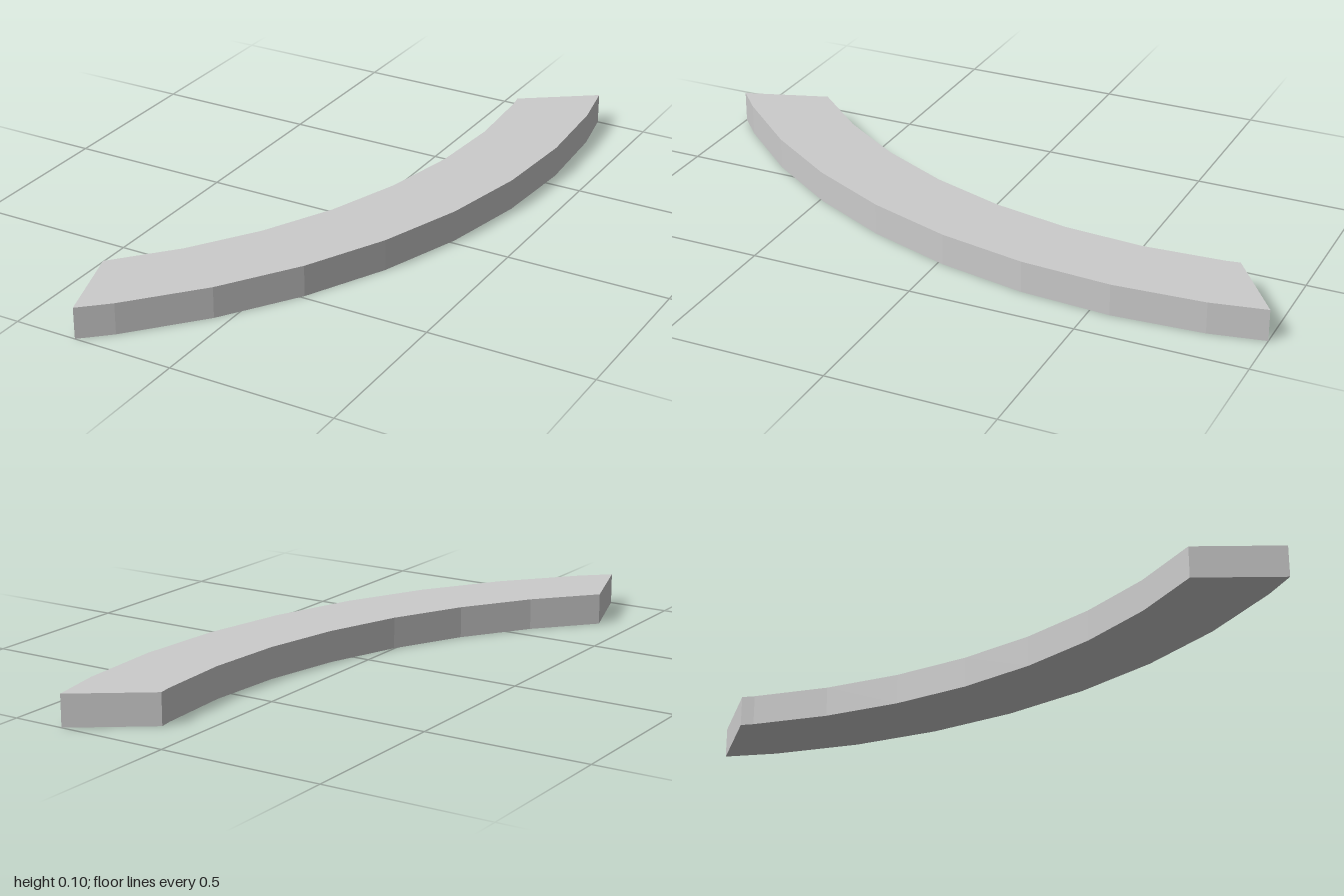
import * as THREE from 'three';

const STEP = THREE.MathUtils.degToRad(7.5);
const CENTRE = { x: -1.71, z: -0.56 };
const HEIGHT = 0.096;

// Points on a faceted arc, as (x, -z) so the plan can be laid flat after extruding.
function arcPoints(radius, from, to) {
  const points = [];
  const dir = Math.sign(to - from);
  for (let i = from; i !== to + dir; i += dir) {
    points.push(new THREE.Vector2(
      CENTRE.x + radius * Math.cos(i * STEP),
      -(CENTRE.z + radius * Math.sin(i * STEP))
    ));
  }
  return points;
}

export function createModel() {
  const group = new THREE.Group();
  group.name = 'curvedSlab';

  // Plan outline: outer arc, angled front end, inner arc, angled back end
  const outline = new THREE.Shape([
    new THREE.Vector2(0.34, 1),
    ...arcPoints(2.1, -1, 6),
    new THREE.Vector2(-0.307, -1),
    new THREE.Vector2(-0.393, -0.742),
    ...arcPoints(1.853, 5, -1),
    new THREE.Vector2(0.12, 0.842),
  ]);

  const geometry = new THREE.ExtrudeGeometry(outline, { depth: HEIGHT, bevelEnabled: false });
  geometry.rotateX(-Math.PI / 2);

  const slab = new THREE.Mesh(
    geometry,
    new THREE.MeshStandardMaterial({ color: 0xcccccc, flatShading: true })
  );
  slab.name = 'slab';
  group.add(slab);
  return group;
}
